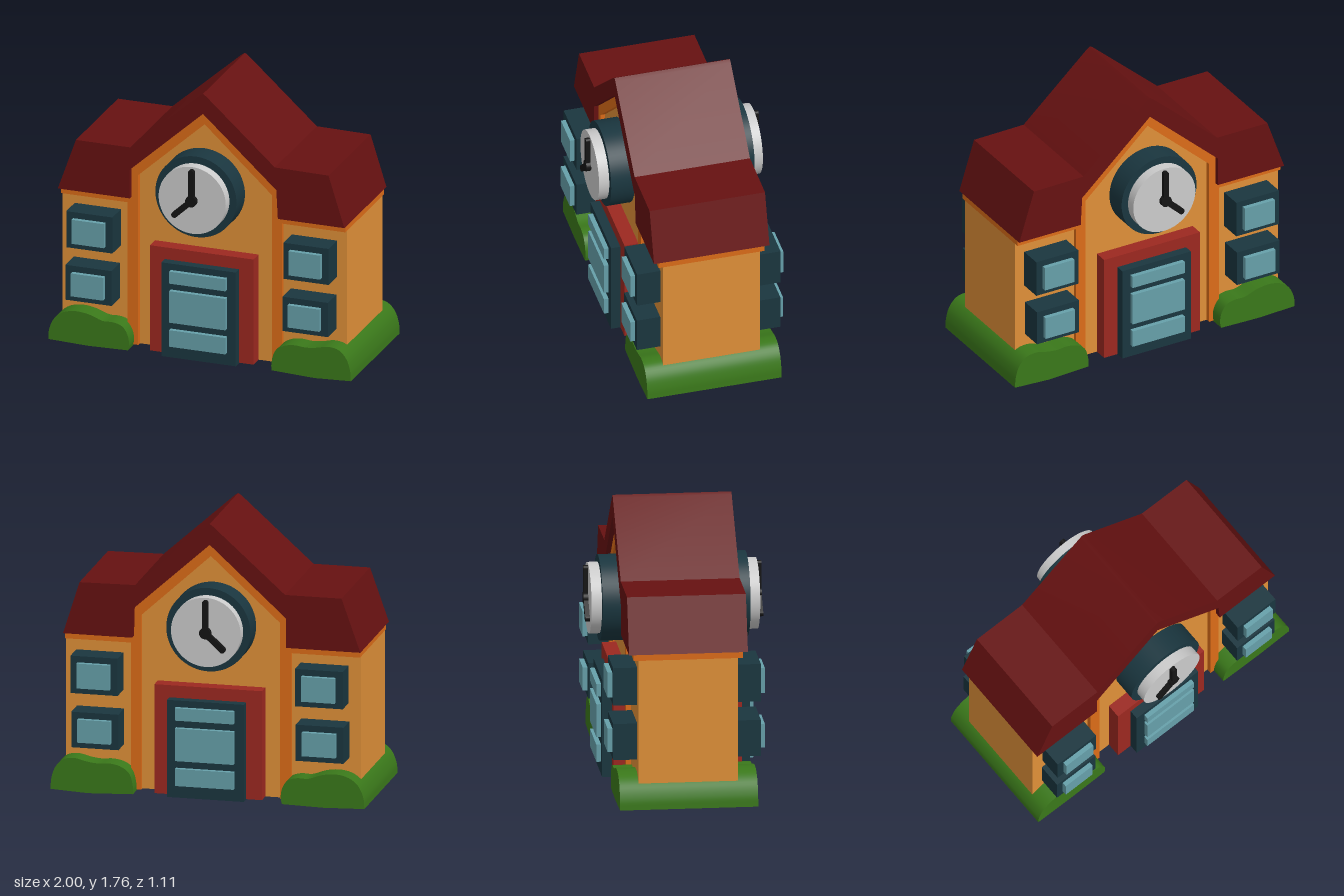
import * as THREE from 'three';
import { toCreasedNormals } from 'three/addons/utils/BufferGeometryUtils.js';

const mat = (color) => new THREE.MeshStandardMaterial({ color });
const COLORS = {
  wall: mat(0xe09038), trim: mat(0xdc6c18), roof: mat(0x661111), red: mat(0x9c2820),
  dark: mat(0x1a363f), glass: mat(0x66a0aa), leaf: mat(0x3a781a), black: mat(0x141414), grey: mat(0xcccccc),
};

export function createModel() {
  const group = new THREE.Group();

  const add = (name, geometry, material) => {
    const mesh = new THREE.Mesh(geometry, material);
    mesh.name = name;
    group.add(mesh);
    return mesh;
  };

  // Outline pushed through the building, reaching z = +-half
  const slab = (name, points, half, material) => {
    const shape = new THREE.Shape(points.map(([x, y]) => new THREE.Vector2(x, y)));
    const geo = new THREE.ExtrudeGeometry(shape, { depth: half * 2, bevelEnabled: false });
    geo.translate(0, 0, -half);
    return add(name, toCreasedNormals(geo, 0.5), material);
  };

  const block = (name, x0, x1, y0, y1, half, material) => {
    const geo = new THREE.BoxGeometry(x1 - x0, y1 - y0, half * 2);
    geo.translate((x0 + x1) / 2, (y0 + y1) / 2, 0);
    return add(name, geo, material);
  };

  const disc = (name, x, y, r, half, material) => {
    const geo = new THREE.CylinderGeometry(r, r, half * 2, 64);
    geo.rotateX(Math.PI / 2).translate(x, y, 0);
    return add(name, geo, material);
  };

  // Walls with the gabled centre
  slab('walls', [
    [-0.95, 0.02], [0.93, 0.02], [0.93, 0.96], [0.47, 0.96], [0.47, 1.17],
    [0, 1.6], [-0.47, 1.17], [-0.47, 0.96], [-0.95, 0.96],
  ], 0.31, COLORS.wall);

  // Trim: eaves bands, corner strips and gable edge in one outline
  slab('trim', [
    [-0.95, 0.96], [-0.51, 0.96], [-0.51, 0.02], [-0.44, 0.02], [-0.44, 1.15], [0, 1.55],
    [0.445, 1.14], [0.445, 0.02], [0.51, 0.02], [0.51, 0.96], [0.93, 0.96], [0.93, 1.0],
    [0.49, 1.0], [0.485, 1.19], [0, 1.63], [-0.485, 1.19], [-0.485, 1.0], [-0.95, 1.0],
  ], 0.34, COLORS.trim);

  // Roof over both wings and the gable
  slab('roof', [
    [-0.96, 1.0], [-0.485, 1.0], [-0.485, 1.19], [0, 1.63], [0.485, 1.19], [0.495, 1.0],
    [0.935, 1.0], [0.83, 1.335], [0.475, 1.34], [0.02, 1.75], [0, 1.763], [-0.02, 1.75],
    [-0.48, 1.34], [-0.84, 1.34],
  ], 0.37, COLORS.roof);

  // Doors, front and back
  block('doorSurround', -0.34, 0.345, 0.02, 0.72, 0.4, COLORS.red);
  block('door', -0.24, 0.25, 0.018, 0.642, 0.46, COLORS.dark);
  for (const [y0, y1] of [[0.1, 0.21], [0.26, 0.47], [0.52, 0.6]]) {
    block('doorGlass', -0.18, 0.193, y0, y1, 0.49, COLORS.glass);
  }

  // Windows: frame box, then glass box
  const windows = [
    [-0.87, -0.565, 0.655, 0.895],
    [-0.875, -0.57, 0.305, 0.537],
    [0.565, 0.865, 0.645, 0.885],
    [0.56, 0.86, 0.297, 0.525],
  ];
  for (const [x0, x1, y0, y1] of windows) {
    block('windowFrame', x0, x1, y0, y1, 0.46, COLORS.dark);
    block('windowGlass', x0 + 0.045, x1 - 0.045, y0 + 0.04, y1 - 0.04, 0.49, COLORS.glass);
  }

  // Clock
  const cx = -0.013, cy = 1.11;
  disc('clockRim', cx, cy, 0.268, 0.46, COLORS.dark);
  disc('clockFace', cx, cy, 0.222, 0.525, COLORS.grey);
  disc('clockHub', cx, cy, 0.036, 0.555, COLORS.black);
  const hand = (name, angle, length, width) => {
    const geo = new THREE.CapsuleGeometry(width / 2, length - width / 2, 1, 16);
    const shape = new THREE.Shape();
    geo.dispose();
    shape.moveTo(-width / 2, 0);
    shape.lineTo(width / 2, 0);
    shape.lineTo(width / 2, length - width / 2);
    shape.absarc(0, length - width / 2, width / 2, 0, Math.PI, false);
    const bar = new THREE.ExtrudeGeometry(shape, { depth: 1.108, bevelEnabled: false });
    bar.translate(0, 0, -0.554).rotateZ(angle).translate(cx, cy, 0);
    add(name, bar, COLORS.black);
  };
  hand('minuteHand', 0, 0.21, 0.036);
  hand('hourHand', 2.32, 0.168, 0.038);

  // Bushes: smooth lumpy outline on a flat base
  const bush = (name, crown, base) => {
    const curve = new THREE.CatmullRomCurve3(crown.map(([x, y]) => new THREE.Vector3(x, y, 0)));
    const points = curve.getPoints(48).map((p) => [p.x, p.y]);
    slab(name, [...points, ...base], 0.43, COLORS.leaf);
  };
  bush('rightBush', [
    [-1, 0.015], [-0.995, 0.08], [-0.96, 0.16], [-0.9, 0.207], [-0.82, 0.225], [-0.73, 0.215],
    [-0.64, 0.185], [-0.57, 0.185], [-0.51, 0.165], [-0.475, 0.11], [-0.467, 0.05], [-0.475, 0.012],
  ], [[-0.74, 0.006]]);
  bush('leftBush', [
    [0.475, 0.012], [0.475, 0.06], [0.5, 0.145], [0.56, 0.187], [0.63, 0.2], [0.7, 0.195],
    [0.77, 0.203], [0.85, 0.22], [0.92, 0.207], [0.97, 0.155], [0.995, 0.08], [1, 0.012],
  ], [[0.76, 0]]);

  return group;
}
